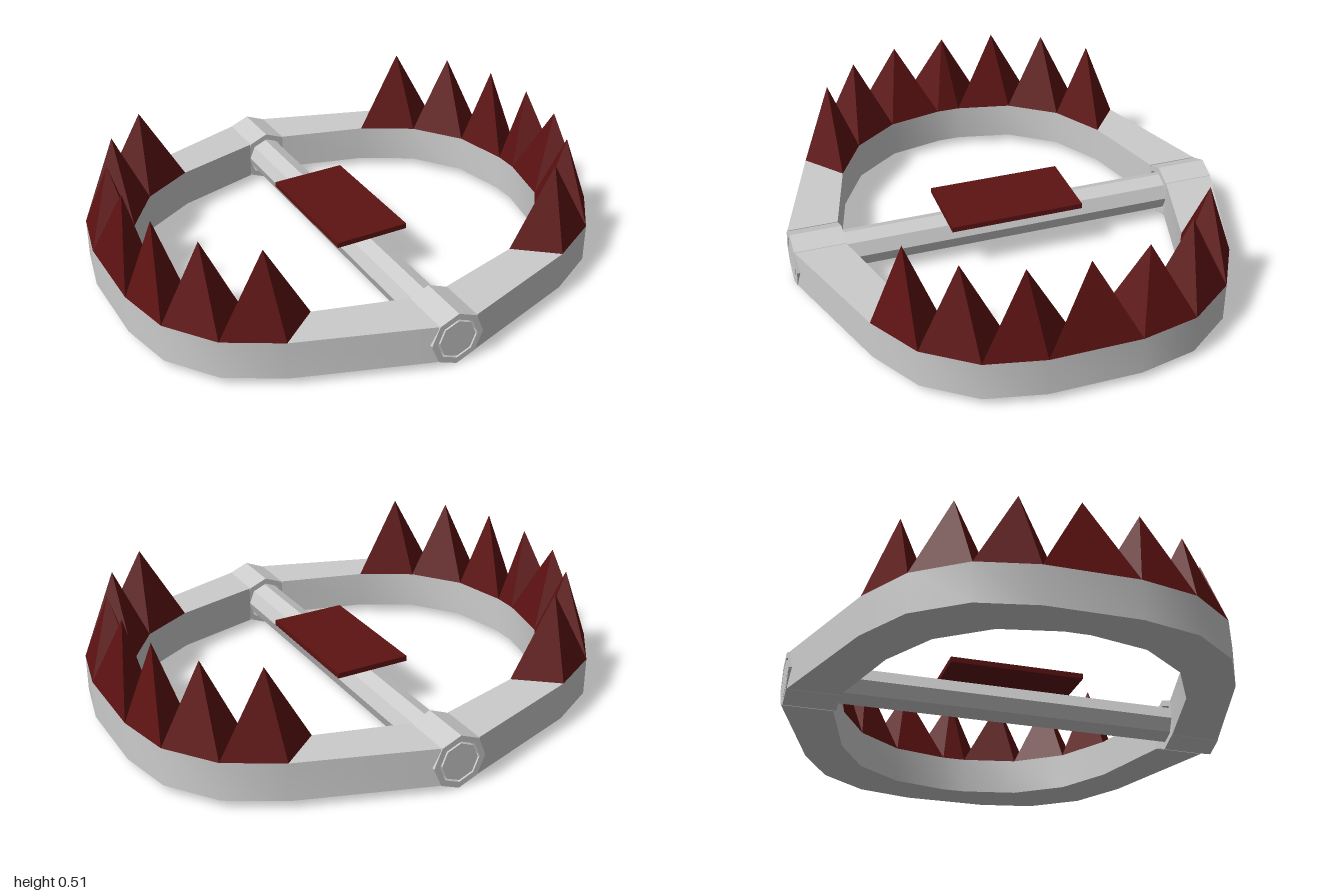
import * as THREE from 'three';
import { toCreasedNormals } from 'three/addons/utils/BufferGeometryUtils.js';

const AXLE_Y = 0.11, TOP = 0.188, BOTTOM = 0.032;
const steel = new THREE.MeshStandardMaterial({ color: 0xcccccc });
const steelFlat = new THREE.MeshStandardMaterial({ color: 0xcccccc, flatShading: true });
const red = new THREE.MeshStandardMaterial({ color: 0x5d1212, flatShading: true });

// Jaw outline: outer corners from front to back, inner corners are a fixed inward offset
const quarter = [[0.6, 0.72], [0.81, 0.6], [0.95, 0.41], [1, 0.18]];
const mirrorZ = pts => [...pts, ...pts.slice().reverse().map(([x, z]) => [x, -z])];
const outer = mirrorZ(quarter);
const inner = mirrorZ(quarter.map(([x, z]) => [x - 0.16, z - 0.13]));

function mesh(name, geometry, material) {
  const m = new THREE.Mesh(geometry, material);
  m.name = name;
  return m;
}

function octagon(path, r) {
  for (let i = 0; i < 8; i++) {
    const a = i * Math.PI / 4;
    path[i ? 'lineTo' : 'moveTo'](r * Math.cos(a), r * Math.sin(a));
  }
  path.closePath();
  return path;
}

function jawGeometry() {
  const loop = [[0.082, 0.895], ...outer, [0.082, -0.895],
    [0.082, -0.69], ...inner.slice().reverse(), [0.082, 0.69]];
  const shape = new THREE.Shape(loop.map(([x, z]) => new THREE.Vector2(x, z)));
  const g = new THREE.ExtrudeGeometry(shape, { depth: TOP - BOTTOM, bevelEnabled: false });
  g.rotateX(Math.PI / 2).translate(0, TOP, 0);
  return toCreasedNormals(g, 0.7);
}

// Pyramid standing on one segment of the jaw
function toothGeometry(i) {
  const base = [outer[i], outer[i + 1], inner[i + 1], inner[i]];
  const mid = k => base.reduce((s, p) => s + p[k], 0) / 4;
  const apex = [mid(0), 0.515, mid(1)];
  const p = base.map(([x, z]) => [x, TOP, z]);
  const v = [];
  for (let k = 0; k < 4; k++) v.push(...p[k], ...p[(k + 1) % 4], ...apex);
  v.push(...p[0], ...p[2], ...p[1], ...p[0], ...p[3], ...p[2]);
  const g = new THREE.BufferGeometry();
  g.setAttribute('position', new THREE.Float32BufferAttribute(v, 3));
  g.computeVertexNormals();
  return g;
}

export function createModel() {
  const model = new THREE.Group();
  model.name = 'jawTrap';

  // Two toothed jaws, the right one turned half way round
  for (const side of ['left', 'right']) {
    const jaw = new THREE.Group();
    jaw.name = side + 'Jaw';
    jaw.add(mesh('jawFrame', jawGeometry(), steel));
    for (let i = 0; i < outer.length - 1; i++) jaw.add(mesh('tooth' + (i + 1), toothGeometry(i), red));
    if (side === 'right') jaw.rotation.y = Math.PI;
    model.add(jaw);
  }

  // Octagonal hinge sleeves at front and back
  const sleeve = octagon(new THREE.Shape(), 0.11);
  sleeve.holes.push(octagon(new THREE.Path(), 0.085));
  const sleeveGeo = new THREE.ExtrudeGeometry(sleeve, { depth: 0.208, bevelEnabled: false });
  for (const [name, z] of [['frontHinge', 0.69], ['backHinge', -0.898]]) {
    const hinge = mesh(name, sleeveGeo, steelFlat);
    hinge.position.set(0, AXLE_Y, z);
    model.add(hinge);
  }

  // Axle rod through both hinges
  const rodGeo = new THREE.ExtrudeGeometry(octagon(new THREE.Shape(), 0.077), { depth: 1.796, bevelEnabled: false });
  const rod = mesh('axleRod', rodGeo, steelFlat);
  rod.position.set(0, AXLE_Y, -0.898);
  model.add(rod);

  // Trigger plate above the rod
  const plate = mesh('triggerPlate', new THREE.BoxGeometry(0.312, 0.022, 0.552), red);
  plate.position.y = 0.209;
  model.add(plate);

  return model;
}
